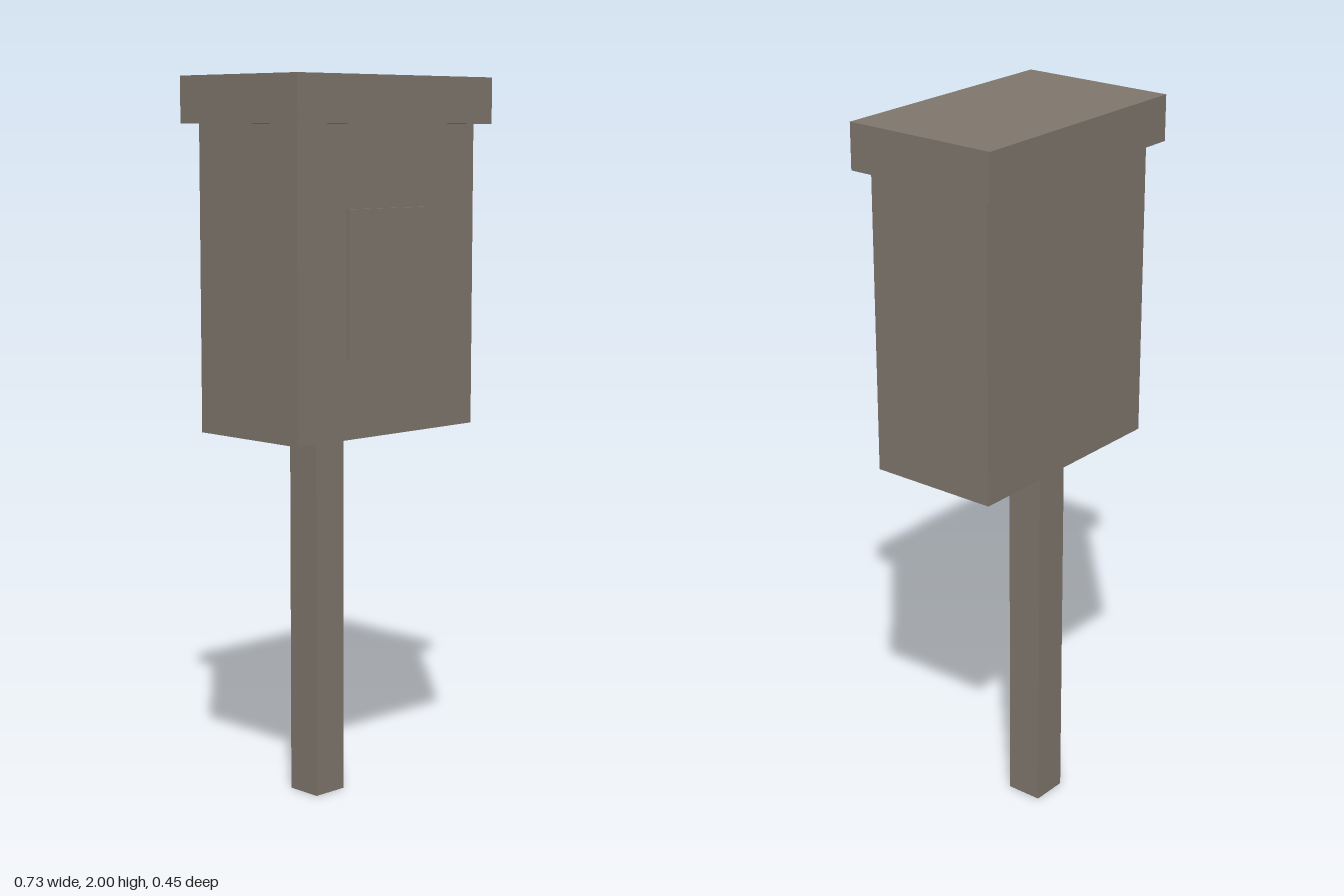
import * as THREE from 'three';

export function createModel() {
  const model = new THREE.Group();
  model.name = 'postMountedBox';

  const taupe = new THREE.MeshStandardMaterial({ color: 0x80776e });
  taupe.name = 'taupe';

  // Box given by its size, its base height and its centre in z
  const addBox = (name, width, height, depth, baseY, z = 0) => {
    const mesh = new THREE.Mesh(new THREE.BoxGeometry(width, height, depth), taupe);
    mesh.name = name;
    mesh.position.set(0, baseY + height / 2, z);
    model.add(mesh);
  };

  // Square post, set towards the back
  addBox('post', 0.105, 1.05, 0.105, 0, -0.087);
  // Cabinet and its overhanging lid
  addBox('cabinet', 0.662, 0.825, 0.378, 1.05);
  addBox('lid', 0.728, 0.125, 0.452, 1.875);
  // Thin raised panel on the front
  addBox('frontPanel', 0.313, 0.39, 0.012, 1.265, 0.195);

  return model;
}
